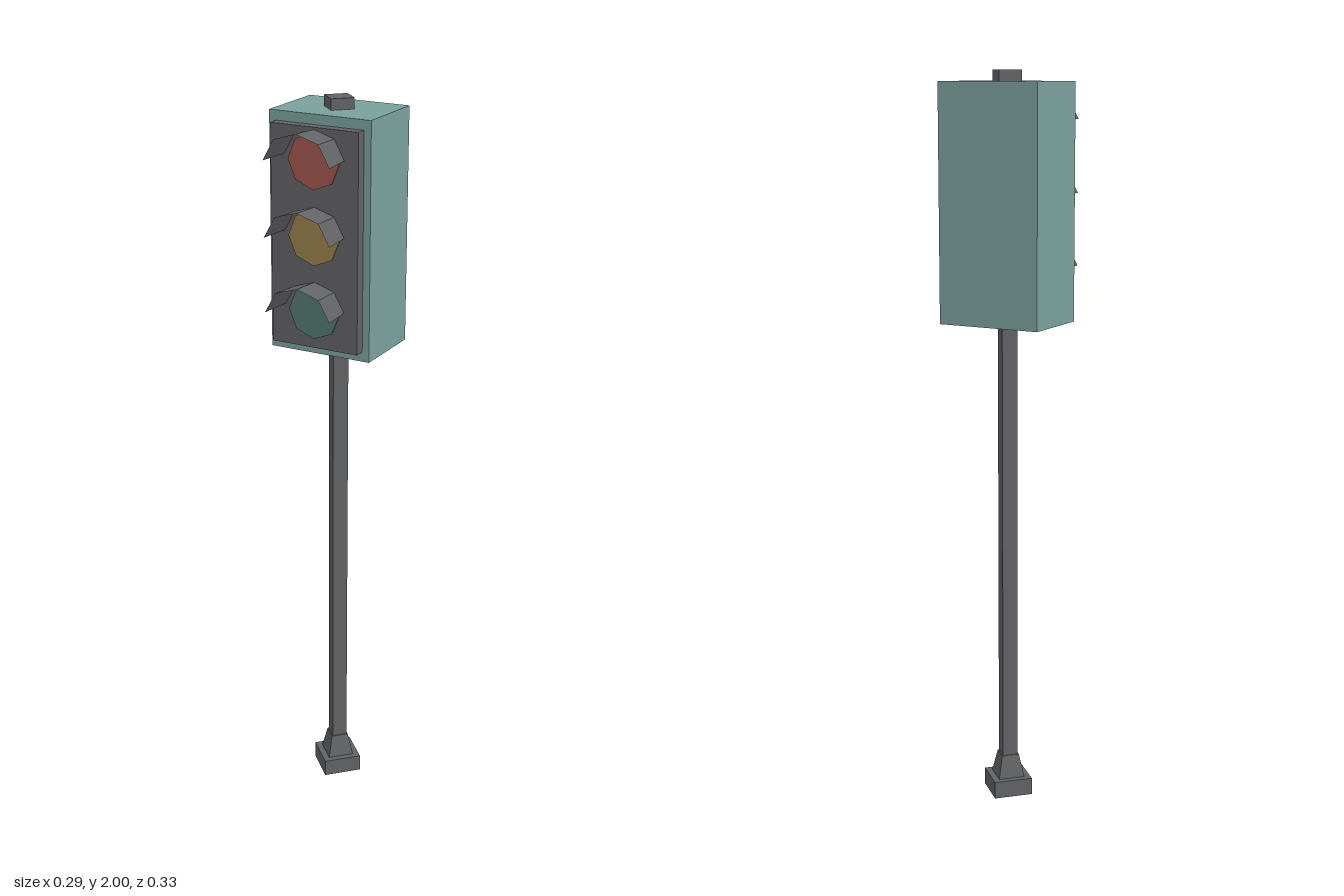
import * as THREE from 'three';

const mat = (name, color, extra = {}) => {
  const m = new THREE.MeshStandardMaterial({ color, flatShading: true, ...extra });
  m.name = name;
  return m;
};

// Half-octagon hood, flaring slightly from back to front
function hoodGeometry(zBack, zFront) {
  const ring = (sx, sy, z) =>
    [[-0.09, 0.01], [-0.06, 0.064], [0, 0.083], [0.06, 0.064], [0.09, 0.01]]
      .map(([x, y]) => [x * sx, y * sy, z]);
  const back = ring(0.96, 0.96, zBack);
  const front = ring(1.05, 1.03, zFront);
  const pos = [];
  for (let i = 0; i < 4; i++) {
    pos.push(...back[i], ...front[i], ...front[i + 1], ...back[i], ...front[i + 1], ...back[i + 1]);
  }
  const g = new THREE.BufferGeometry();
  g.setAttribute('position', new THREE.Float32BufferAttribute(pos, 3));
  g.computeVertexNormals();
  return g;
}

export function createModel() {
  const group = new THREE.Group();
  const teal = mat('teal housing', 0x7aa19d);
  const dark = mat('dark grey metal', 0x626366, { side: THREE.DoubleSide });
  const red = mat('red lens', 0xa0554c);
  const yellow = mat('yellow lens', 0x98804a);
  const green = mat('green lens', 0x52796f);

  const add = (name, geometry, material, x, y, z) => {
    const m = new THREE.Mesh(geometry, material);
    m.name = name;
    m.position.set(x, y, z);
    group.add(m);
    return m;
  };

  // Four-sided post parts, corners facing front and sides
  const postZ = -0.06;
  const post = (name, rTop, rBottom, y0, y1) =>
    add(name, new THREE.CylinderGeometry(rTop, rBottom, y1 - y0, 4), dark, 0, (y0 + y1) / 2, postZ);
  post('base', 0.076, 0.076, 0, 0.048);
  post('baseCollar', 0.034, 0.052, 0.048, 0.112);
  post('pole', 0.03, 0.03, 0.112, 1.345);
  post('topCap', 0.044, 0.044, 1.965, 2);

  // Signal head
  add('housing', new THREE.BoxGeometry(0.292, 0.632, 0.212), teal, 0, 1.655, -0.062);
  add('frontPanel', new THREE.BoxGeometry(0.252, 0.58, 0.029), dark, 0, 1.655, 0.0585);

  // Lenses with hoods, top to bottom
  const lens = new THREE.CylinderGeometry(0.074, 0.074, 0.004, 8).rotateX(Math.PI / 2);
  const hood = hoodGeometry(0.073, 0.166);
  [['red', red], ['yellow', yellow], ['green', green]].forEach(([name, material], i) => {
    const y = 1.86 - i * 0.198;
    add(name + 'Lens', lens, material, 0, y, 0.0745);
    add(name + 'Hood', hood, dark, 0, y, 0);
  });

  return group;
}
